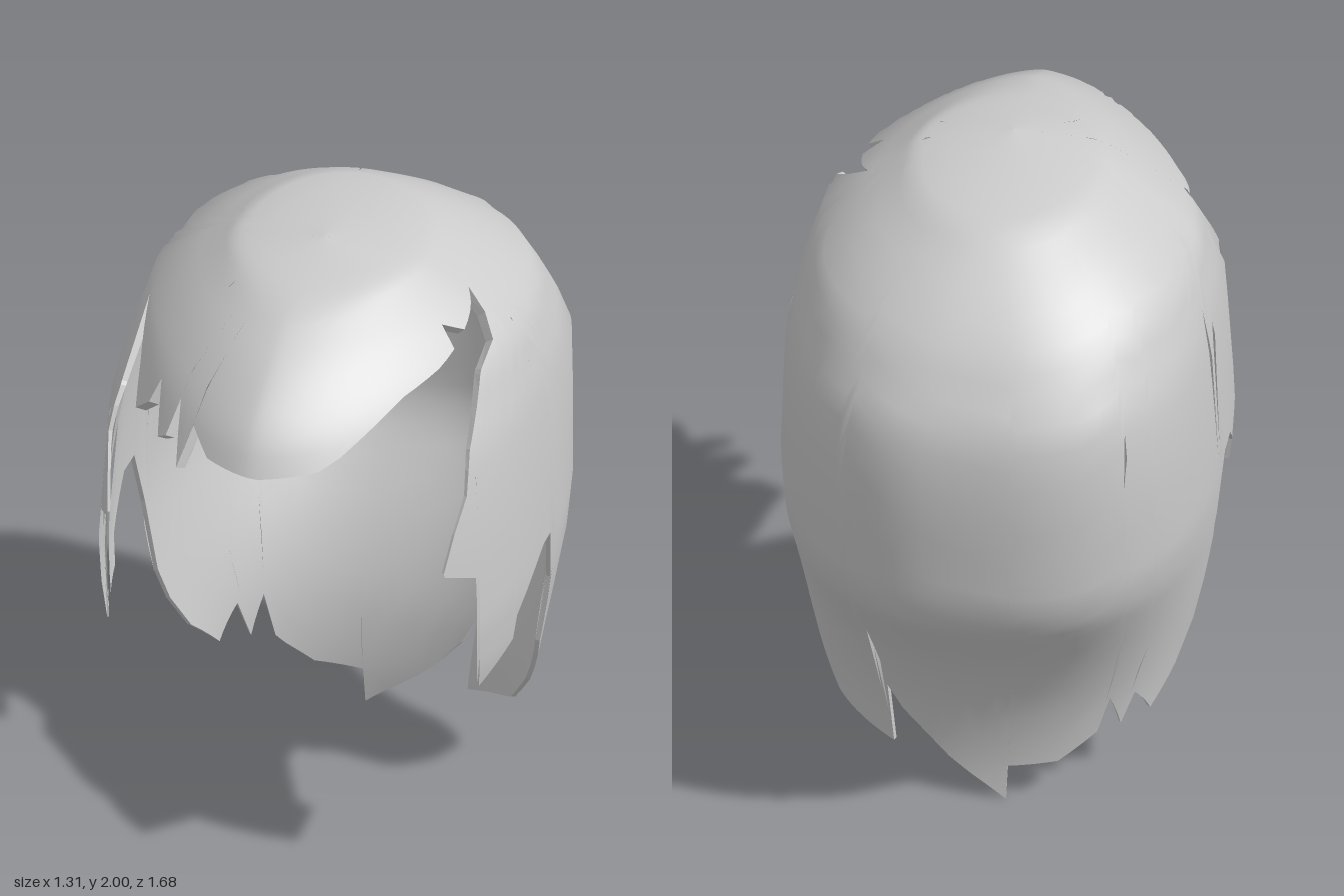
import * as THREE from 'three';

// Horizontal sections of the hair:
// [y, half width, front z, back z, z of widest point, front roundness, back roundness]
const SECTIONS = [
  [2.0, 0, 0.1, 0.1, 0.1, 2, 2],
  [1.975, 0.25, 0.26, -0.28, 0.06, 1.9, 2.1],
  [1.92, 0.335, 0.48, -0.4, 0.04, 1.6, 2.2],
  [1.77, 0.545, 0.73, -0.62, 0.02, 1.55, 2.4],
  [1.61, 0.595, 0.84, -0.73, 0.01, 1.7, 2.5],
  [1.44, 0.635, 0.89, -0.84, 0.01, 2, 2.6],
  [1.02, 0.655, 0.93, -0.825, 0.05, 2, 2.5],
  [0.86, 0.645, 0.93, -0.82, 0.05, 2, 2.4],
  [0.72, 0.63, 0.9, -0.725, 0.05, 2, 2.3],
  [0.47, 0.585, 0.7, -0.55, -0.02, 2, 2.2],
  [0.2, 0.5, 0.5, -0.48, -0.17, 2, 2.1],
  [0, 0.46, 0.4, -0.49, -0.2, 2, 2.1],
];
const LAST = SECTIONS.length - 1;
const THICKNESS = 0.035;
const ROWS = 26;

function sectionAt(q) {
  const i = Math.min(LAST - 1, Math.floor(q));
  return SECTIONS[i].map((v, k) => v + (SECTIONS[i + 1][k] - v) * (q - i));
}

// Section index for a height
function levelOf(y) {
  let i = 0;
  while (i < LAST - 1 && SECTIONS[i + 1][0] > y) i++;
  return i + (SECTIONS[i][0] - y) / (SECTIONS[i][0] - SECTIONS[i + 1][0]);
}

// Scalp surface: angle a runs from +z towards +x, q runs from crown to hem
function surface(a, q) {
  const [y, w, f, b, zc, pf, pb] = sectionAt(THREE.MathUtils.clamp(q, 0, LAST));
  const s = Math.sin(a), c = Math.cos(a), e = 2 / (c > 0 ? pf : pb);
  return new THREE.Vector3(
    w * Math.sign(s) * Math.abs(s) ** e, y,
    zc + (c > 0 ? f - zc : b - zc) * Math.abs(c) ** e);
}

function surfaceNormal(a, q) {
  const r = Math.max(q, 0.4);
  const da = surface(a + 0.15, r).sub(surface(a - 0.15, r));
  const dq = surface(a, q + 0.7).sub(surface(a, q - 0.7));
  return dq.cross(da).normalize();
}

// Outline points as [angle, level]: by z on a side, by x on the front or back
function sidePoint(side, z, y) {
  const q = levelOf(y), [, , f, b, zc, pf, pb] = sectionAt(q);
  const front = z > zc;
  const c = Math.min(1, (z - zc) / ((front ? f : b) - zc)) ** ((front ? pf : pb) / 2);
  return [side * Math.acos(front ? c : -c), q];
}
function frontPoint(x, y) {
  const q = levelOf(y), [, w, , , , pf] = sectionAt(q);
  return [Math.sign(x) * Math.asin(Math.min(1, Math.abs(x) / w) ** (pf / 2)), q];
}
function backPoint(x, y) {
  const q = levelOf(y), [, w, , , , , pb] = sectionAt(q);
  return [Math.PI - Math.sign(x) * Math.asin(Math.min(1, Math.abs(x) / w) ** (pb / 2)), q];
}
const wrap = ([a, q]) => [a + 2 * Math.PI, q];
const fromCrown = (hem) => {
  let last = -Infinity;
  return hem.map(([a, q]) => {
    last = Math.max(a, last + 0.001);
    return [[last, 0], [last, q]];
  });
};

// Thickness rules: the fringe keeps a blunt edge, the rest thins out
const blunt = () => THICKNESS;
const thinHem = (p, t) => THICKNESS * (1 - 0.6 * t ** 4);
const thinFront = (p, t) => thinHem(p, t) * THREE.MathUtils.clamp((0.6 - p.z) / 0.5, 0.25, 1);

// Thick sheet lofted between pairs of top and bottom outline points
function buildSheet(name, pairs, thickness, openTop) {
  const columns = [];
  const mix = (p, q, t) => [p[0] + (q[0] - p[0]) * t, p[1] + (q[1] - p[1]) * t];
  pairs.forEach((pair, i) => {
    if (i === 0) return void columns.push(pair);
    const prev = pairs[i - 1];
    const n = Math.max(1, Math.ceil(Math.abs(pair[1][0] - prev[1][0]) / 0.07));
    for (let k = 1; k <= n; k++) {
      columns.push([mix(prev[0], pair[0], k / n), mix(prev[1], pair[1], k / n)]);
    }
  });

  const outer = [], inner = [], normals = [], index = [], innerIndex = [];
  columns.forEach(([top, bottom], i) => {
    for (let j = 0; j <= ROWS; j++) {
      const [a, q] = mix(top, bottom, j / ROWS);
      const p = surface(a, q), n = surfaceNormal(a, q);
      outer.push(p);
      normals.push(n);
      inner.push(p.clone().addScaledVector(n, -thickness(p, j / ROWS)));
      if (i && j) {
        const d = i * (ROWS + 1) + j, b = d - ROWS - 1;
        index.push(b - 1, b, d - 1, b, d, d - 1);
        innerIndex.push(b - 1, d - 1, b, b, d - 1, d);
      }
    }
  });

  // Cut edge between the outer and inner faces
  const rim = [];
  const addRim = (j, flip) => {
    for (let i = 1; i < columns.length; i++) {
      let b = i * (ROWS + 1) + j, a = b - ROWS - 1;
      if (flip) [a, b] = [b, a];
      rim.push(outer[a], inner[a], outer[b], outer[b], inner[a], inner[b]);
    }
  };
  addRim(ROWS, false);
  if (openTop) addRim(0, true);

  const group = new THREE.Group();
  group.name = name;
  const add = (part, points, norms, idx) => {
    const g = new THREE.BufferGeometry().setFromPoints(points);
    if (idx) {
      g.setIndex(idx);
      g.setAttribute('normal', new THREE.BufferAttribute(
        new Float32Array(norms.flatMap((n) => n.toArray())), 3));
    } else g.computeVertexNormals();
    const mesh = new THREE.Mesh(g, new THREE.MeshStandardMaterial({ color: 0xcccccc }));
    mesh.name = name + part;
    group.add(mesh);
  };
  add('Outside', outer, normals, index);
  add('Inside', inner, normals.map((n) => n.clone().negate()), innerIndex);
  add('Edge', rim);
  return group;
}

export function createModel() {
  const model = new THREE.Group();
  model.name = 'hair';
  const L = (z, y) => sidePoint(1, z, y), R = (z, y) => sidePoint(-1, z, y);

  // Temple gaps, where fringe and side locks part
  const gapL = L(0.02, 1.86), gapR = R(0.2, 1.75);

  // Fringe, from the right temple to the left
  const fringeHem = [
    gapR, R(0.4, 1.65), R(0.53, 1.57),
    ...[[-0.39, 1.62], [-0.36, 1.69], [-0.325, 1.58], [-0.295, 1.6],
      [-0.28, 1.7], [-0.235, 1.55], [-0.2, 1.67], [-0.13, 1.62], [0.04, 1.605],
      [0.2, 1.615], [0.25, 1.64], [0.3, 1.68], [0.37, 1.74]].map((p) => frontPoint(...p)),
    L(0.25, 1.79), L(0.21, 1.84), L(0.17, 1.81), gapL,
  ];
  model.add(buildSheet('fringe', fromCrown(fringeHem), blunt, false));

  // Back, from the left temple round to the right, with a ragged hem
  const backHem = [
    [gapL[0], levelOf(1.01)], L(-0.04, 1.01), L(-0.09, 0.82), L(-0.1, 0.58),
    ...[[0.53, 0.36], [0.45, 0.22], [0.27, 0.14], [0.285, 0.36], [0.24, 0.28], [0.1, 0.13],
      [-0.07, 0], [-0.075, 0.115], [-0.22, 0.13], [-0.33, 0.22], [-0.37, 0.35], [-0.395, 0.23],
      [-0.435, 0.34], [-0.47, 0.24], [-0.53, 0.34]].map((p) => backPoint(...p)),
    ...[[-0.1, 0.58], [-0.09, 0.82], [-0.04, 1.01], [0.05, 1.01], [0.21, 0.87], [0.22, 0.79]]
      .map((p) => wrap(R(...p))),
    wrap([gapR[0], levelOf(0.77)]),
  ];
  model.add(buildSheet('back', fromCrown(backHem), thinHem, false));

  // Side locks in front of the ears: pairs of [z, y] on the front edge and the hem
  const lockTip = [
    [[0.36, 1.54], [0.39, 0.72]],
    [[0.37, 1.53], [0.385, 1.1]],
    [[0.44, 1.41], [0.44, 1.13]],
    [[0.5, 1.31], [0.5, 1.16]],
    [[0.55, 1.2], [0.55, 1.185]],
  ];
  const leftPairs = [
    [gapL, [gapL[0], levelOf(1.01)]],
    ...[[[0.21, 1.71], [0.21, 0.87]], [[0.22, 1.7], [0.22, 0.79]], ...lockTip]
      .map(([t, b]) => [L(...t), L(...b)]),
  ].reverse();
  model.add(buildSheet('leftLock', leftPairs, thinFront, true));
  const rightPairs = [
    [gapR, [gapR[0], levelOf(0.77)]],
    ...lockTip.map(([t, b]) => [R(...t), R(...b)]),
  ];
  model.add(buildSheet('rightLock', rightPairs, thinFront, true));
  return model;
}
